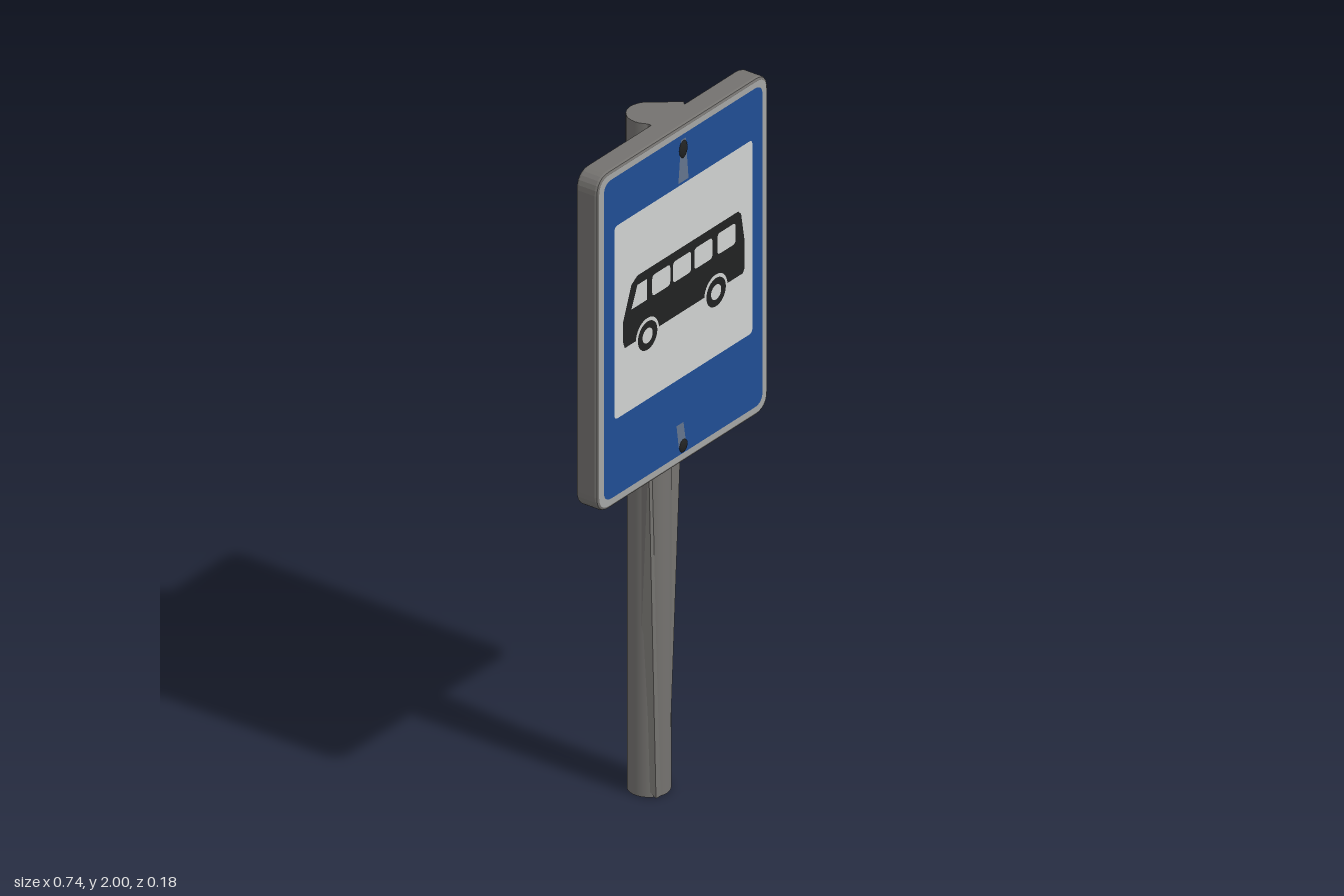
import * as THREE from 'three';
import { ConvexGeometry } from 'three/addons/geometries/ConvexGeometry.js';

const material = (name, color) => Object.assign(new THREE.MeshStandardMaterial({ color }), { name });

// rectangle with rounded corners, traced on a Shape or a Path
function roundedRect(path, x0, y0, x1, y1, r) {
  path.moveTo(x0 + r, y0);
  path.lineTo(x1 - r, y0).quadraticCurveTo(x1, y0, x1, y0 + r);
  path.lineTo(x1, y1 - r).quadraticCurveTo(x1, y1, x1 - r, y1);
  path.lineTo(x0 + r, y1).quadraticCurveTo(x0, y1, x0, y1 - r);
  path.lineTo(x0, y0 + r).quadraticCurveTo(x0, y0, x0 + r, y0);
  return path;
}

const polygon = (points) => new THREE.Shape(points.map(([x, y]) => new THREE.Vector2(x, y)));

function disc(x, y, r, hole = 0) {
  const s = new THREE.Shape();
  s.absarc(x, y, r, 0, Math.PI * 2);
  if (hole) s.holes.push(new THREE.Path().absarc(x, y, hole, 0, Math.PI * 2, true));
  return s;
}

export function createModel() {
  const grey = material('weathered steel', 0x74726f);
  const rim = material('worn light edge', 0xa4a5a4);
  const blue = material('sign blue', 0x204d94);
  const white = material('sign white', 0xcfd2d0);
  const black = material('pictogram black', 0x212222);
  const smudge = material('blue grey smudge', 0x64748c);

  const model = new THREE.Group();
  const add = (name, geometry, mat, parent = model) => {
    const mesh = new THREE.Mesh(geometry, mat);
    mesh.name = name;
    parent.add(mesh);
    return mesh;
  };
  const convex = (name, points) =>
    add(name, new ConvexGeometry(points.map((p) => new THREE.Vector3(...p))), grey);

  // Pole: lower tube, slimmer upper tube, cap collar
  const tube = (name, y0, y1, r, z) =>
    add(name, new THREE.CylinderGeometry(r, r, y1 - y0, 32), grey).position.set(0, (y0 + y1) / 2, z);
  tube('lowerPole', 0, 1.07, 0.058, -0.028);
  tube('upperPole', 1.07, 1.88, 0.054, -0.024);
  tube('poleCap', 1.88, 2, 0.06, -0.029);

  // Webs joining the pole to the board
  convex('lowerWeb', [
    [-0.055, 1.02, -0.03], [-0.055, 1.02, 0.012], [0.085, 1.02, 0.012],
    [0.055, 0.5, -0.03], [-0.055, 0.05, -0.03], [-0.04, 0, 0.025], [0.01, 0, 0.028],
  ]);
  convex('upperWeb', [
    [0.04, 2, -0.07], [0.105, 2, 0.006], [0.09, 2, 0.02], [-0.05, 2, 0.02], [-0.05, 2, -0.04],
    [0.04, 1.84, -0.04], [0.05, 1.84, 0.012], [-0.04, 1.84, 0.012],
  ]);
  add('poleMount', new THREE.BoxGeometry(0.1, 0.99, 0.04), grey).position.set(0, 1.505, -0.004);

  // Board with rounded corners and a soft bevel
  const boardShape = roundedRect(new THREE.Shape(), -0.362, 1.008, 0.362, 1.992, 0.045);
  const board = add('board', new THREE.ExtrudeGeometry(boardShape, {
    depth: 0.054, bevelThickness: 0.008, bevelSize: 0.008, bevelSegments: 2, curveSegments: 6,
  }), grey);
  board.position.z = 0.02;

  // Painted face, laid in thin layers and used on both sides
  function signFace(name, speckled) {
    const face = new THREE.Group();
    face.name = name;
    const layer = (part, shapes, mat, level) => {
      add(part, new THREE.ShapeGeometry(shapes, 16), mat, face).position.z = level * 0.0008;
    };
    layer('wornEdge', roundedRect(new THREE.Shape(), -0.362, 1.009, 0.362, 1.991, 0.045), rim, 1);
    layer('blueField', roundedRect(new THREE.Shape(), -0.343, 1.028, 0.343, 1.974, 0.035), blue, 2);
    layer('whitePanel', roundedRect(new THREE.Shape(), -0.298, 1.255, 0.298, 1.828, 0.015), white, 3);

    // Bus body with five window openings
    const body = polygon([
      [-0.255, 1.45], [-0.262, 1.47], [-0.262, 1.53], [-0.226, 1.625], [-0.2, 1.642],
      [0.235, 1.642], [0.248, 1.63], [0.262, 1.55], [0.262, 1.46], [0.255, 1.45],
    ]);
    body.holes.push(new THREE.Path(
      [[-0.226, 1.552], [-0.158, 1.552], [-0.158, 1.614], [-0.2, 1.614]].map((p) => new THREE.Vector2(...p))));
    for (const x of [-0.136, -0.046, 0.046, 0.146])
      body.holes.push(roundedRect(new THREE.Path(), x, 1.552, x + 0.078, 1.614, 0.012));
    layer('busBody', body, black, 4);

    // Wheels set in pale arches
    const wheels = [-0.158, 0.138];
    layer('wheelArches', wheels.map((x) => disc(x, 1.448, 0.05)), white, 5);
    layer('tyres', wheels.map((x) => disc(x, 1.446, 0.042, 0.022)), black, 6);

    // Scuffs behind the bolts
    if (speckled) {
      layer('scuffs', [
        polygon([[-0.022, 1.835], [0.022, 1.835], [0.01, 1.96], [-0.01, 1.96]]),
        polygon([[-0.02, 1.05], [0.012, 1.05], [0, 1.12], [-0.03, 1.12]]),
      ], smudge, 3);
    }
    model.add(face);
    return face;
  }
  signFace('frontFace', true).position.z = 0.082;
  const back = signFace('backFace', false);
  back.rotation.y = Math.PI;
  back.position.z = 0.012;

  // Pale torn patch on the back
  const patch = add('backPatch', new THREE.ShapeGeometry(
    polygon([[-0.1, 1.82], [-0.355, 1.6], [-0.355, 1.74]])), white, back);
  patch.position.z = 0.0045;

  // Bolts
  for (const y of [1.05, 1.93]) {
    const bolt = add('bolt', new THREE.SphereGeometry(0.018, 16, 10), black);
    bolt.position.set(0, y, 0.082);
    bolt.scale.set(1, y > 1.5 ? 1.5 : 1.1, 0.45);
  }
  return model;
}
